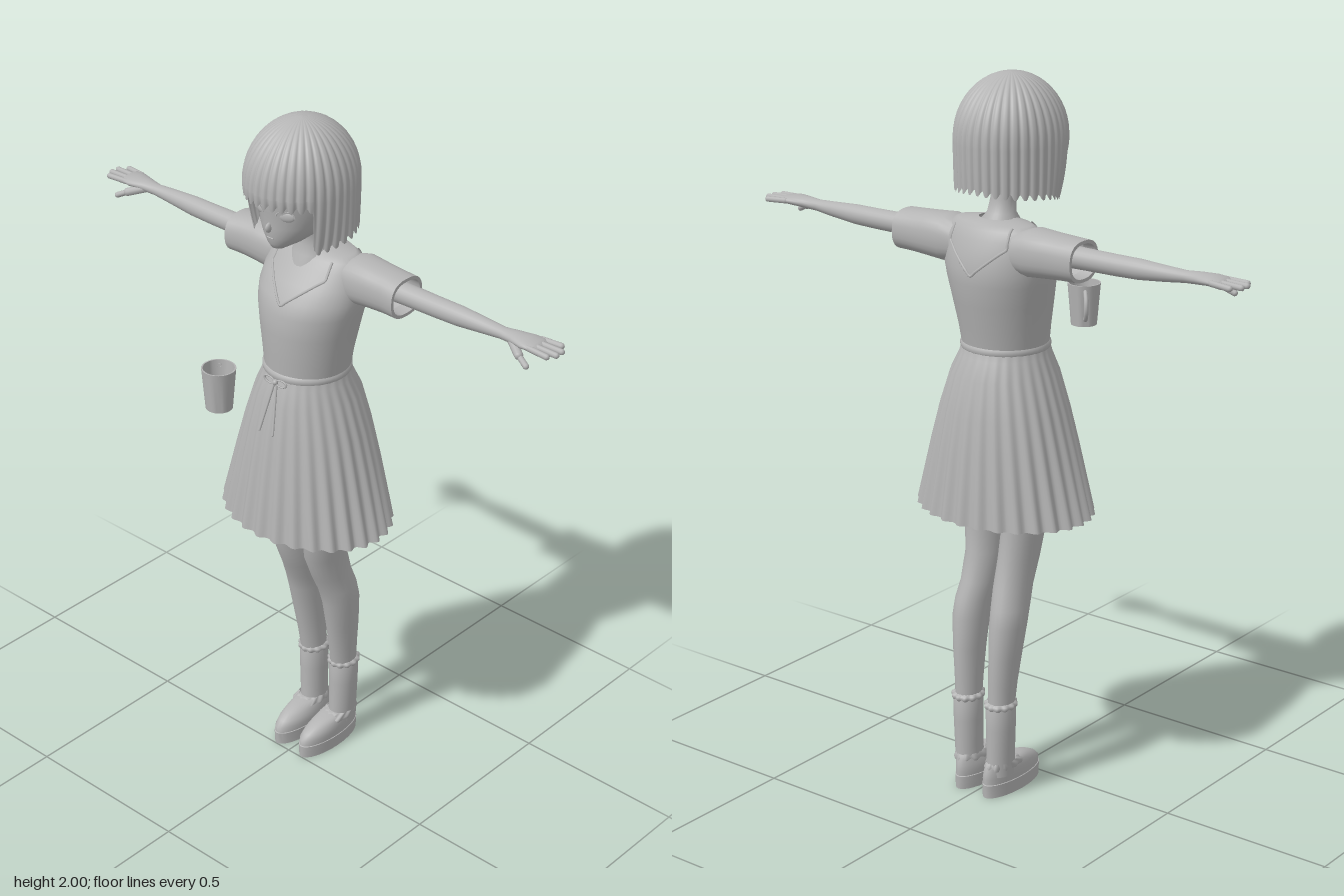
import * as THREE from 'three';
import { toCreasedNormals } from 'three/addons/utils/BufferGeometryUtils.js';

const grey = new THREE.MeshStandardMaterial({ color: 0xb4b4b4, side: THREE.DoubleSide });
grey.name = 'plain grey';

// Closed-in-u surface from a rule fn(angle, row) -> [x, y, z]; angle 0 faces the front
function surface(n, rows, fn) {
  const pos = [], idx = [];
  for (let j = 0; j < rows; j++)
    for (let i = 0; i < n; i++) pos.push(...fn((i / n) * Math.PI * 2 - Math.PI, j));
  for (let j = 0; j < rows - 1; j++)
    for (let i = 0; i < n; i++) {
      const k = (i + 1) % n, a = j * n + i, b = j * n + k;
      idx.push(a, b, b + n, a, b + n, a + n);
    }
  const g = new THREE.BufferGeometry();
  g.setAttribute('position', new THREE.Float32BufferAttribute(pos, 3));
  g.setIndex(idx);
  g.computeVertexNormals();
  return g;
}

// Upright loft, sections [y, centreX, halfWidth, zFront, zBack]; wave(angle, row) scales the ring
const loftY = (s, n = 32, wave = () => 1) => surface(n, s.length, (a, j) => {
  const [y, cx, hx, zf, zb] = s[j], w = wave(a, j);
  return [cx + hx * w * Math.sin(a), y, (zf + zb) / 2 + ((zf - zb) / 2) * w * Math.cos(a)];
});

// Sideways loft, sections [x, centreY, halfHeight, centreZ, halfDepth]; p < 1 squares the ring
const loftX = (s, n = 24, p = 1) => surface(n, s.length, (a, j) => {
  const [x, cy, hy, cz, hz] = s[j];
  const soft = (t) => Math.sign(t) * Math.abs(t) ** p;
  return [x, cy - hy * soft(Math.sin(a)), cz + hz * soft(Math.cos(a))];
});

function limb(a, b, r) {
  const A = new THREE.Vector3(...a), B = new THREE.Vector3(...b), d = B.clone().sub(A);
  const g = new THREE.CapsuleGeometry(r, d.length(), 4, 10);
  g.applyQuaternion(new THREE.Quaternion().setFromUnitVectors(new THREE.Vector3(0, 1, 0), d.clone().normalize()));
  const m = A.add(B).multiplyScalar(0.5);
  return g.translate(m.x, m.y, m.z);
}

function mirrored(geo) {
  const g = geo.clone().toNonIndexed().scale(-1, 1, 1);
  for (const at of Object.values(g.attributes))
    for (let t = 0; t < at.count; t += 3)
      for (let c = 0; c < at.itemSize; c++) {
        const v = at.getComponent(t + 1, c);
        at.setComponent(t + 1, c, at.getComponent(t + 2, c));
        at.setComponent(t + 2, c, v);
      }
  return g;
}

const torso = [
  [1.27, 0, 0.117, 0.04, -0.19], [1.33, 0, 0.125, 0.043, -0.2], [1.4, 0, 0.138, 0.046, -0.215],
  [1.46, 0, 0.151, 0.044, -0.225], [1.5, 0, 0.158, 0.028, -0.225], [1.54, 0, 0.156, 0, -0.217],
  [1.58, 0, 0.15, -0.032, -0.204], [1.605, 0, 0.14, -0.05, -0.19], [1.618, 0, 0.115, -0.062, -0.18],
  [1.625, 0, 0.05, -0.08, -0.15],
];

// Point just on the bodice, side = 1 front or -1 back
function onTorso(x, y, side) {
  let i = 0;
  while (i < torso.length - 2 && torso[i + 1][0] < y) i++;
  const t = (y - torso[i][0]) / (torso[i + 1][0] - torso[i][0]);
  const [, , hx, zf, zb] = torso[i].map((v, k) => THREE.MathUtils.lerp(v, torso[i + 1][k], t));
  const depth = Math.sqrt(Math.max(0, 1 - (x / hx) ** 2));
  return new THREE.Vector3(x, y, (zf + zb) / 2 + side * ((zf - zb) / 2) * depth);
}

export function createModel() {
  const model = new THREE.Group();
  model.name = 'girl with mug';
  const add = (name, geo, parent = model) => {
    const m = new THREE.Mesh(geo, grey);
    m.name = name;
    parent.add(m);
    return m;
  };
  const pair = (name, geo) => {
    add('left ' + name, geo);
    add('right ' + name, mirrored(geo));
  };

  // Head and face
  add('head', loftY([
    [1.662, 0, 0, 0.045, 0.04], [1.666, 0, 0.02, 0.058, 0.02], [1.68, 0, 0.045, 0.066, -0.06],
    [1.7, 0, 0.068, 0.071, -0.12], [1.73, 0, 0.088, 0.074, -0.15], [1.77, 0, 0.1, 0.075, -0.175],
    [1.82, 0, 0.11, 0.085, -0.19], [1.88, 0, 0.11, 0.08, -0.19], [1.95, 0, 0.08, 0.04, -0.14],
    [1.975, 0, 0, -0.04, -0.06],
  ]));
  add('nose', new THREE.SphereGeometry(1, 12, 8).scale(0.007, 0.014, 0.013).translate(0, 1.73, 0.075));
  pair('eye', new THREE.SphereGeometry(1, 16, 10).scale(0.023, 0.014, 0.006).rotateY(0.4).translate(0.046, 1.768, 0.058));
  pair('lash', new THREE.TorusGeometry(0.026, 0.002, 6, 14, Math.PI).scale(1, 0.65, 1).rotateY(0.4).translate(0.046, 1.768, 0.063));
  add('mouth', limb([-0.009, 1.699, 0.071], [0.009, 1.699, 0.071], 0.002));

  // Bobbed hair: dome above, straight strands below, shorter at the fringe
  const rows = 25, half = 12;
  add('hair', surface(288, rows, (a, j) => {
    const side = THREE.MathUtils.smoothstep(Math.abs(a), 0.98, 1.04);
    const lock = side * (1 - THREE.MathUtils.smoothstep(Math.abs(a), 1.04, 1.9));
    const strand = Math.abs(Math.cos(18 * a));
    const hem = THREE.MathUtils.lerp(1.795, 1.68 + 0.012 * (Math.abs(a) - 1.5), side) + 0.014 * strand ** 3 - 0.012 * lock;
    let y, r;
    if (j < half) {
      const t = 1 - j / half;
      y = THREE.MathUtils.lerp(1.83, hem, t);
      r = 1 - (0.02 + 0.13 * lock) * t ** 2;
    } else {
      const p = ((rows - 1 - j) / half) * (Math.PI / 2);
      y = 1.83 + 0.17 * Math.cos(p);
      r = Math.sin(p);
    }
    r *= 1 - 0.035 * strand ** 5;
    return [0.146 * r * Math.sin(a), y, -0.05 + 0.163 * r * Math.cos(a)];
  }));

  // Neck flaring into the neckline
  add('neck', loftY([
    [1.575, 0, 0.062, -0.03, -0.16], [1.61, 0, 0.058, -0.042, -0.15], [1.635, 0, 0.038, -0.052, -0.13],
    [1.67, 0, 0.034, -0.05, -0.118], [1.72, 0, 0.036, -0.04, -0.115],
  ]));

  // Bodice with V-shaped trim front and back
  add('bodice', loftY(torso, 40));
  for (const side of [1, -1]) {
    const pts = [], path = [[-0.09, 1.615], [-0.093, 1.565], [0, 1.487], [0.093, 1.565], [0.09, 1.615]];
    for (let i = 0; i < 4; i++)
      for (let k = 0; k < 6; k++) {
        const [p, q] = [path[i], path[i + 1]];
        pts.push(onTorso(p[0] + (q[0] - p[0]) * k / 6, p[1] + (q[1] - p[1]) * k / 6, side));
      }
    add(side > 0 ? 'front neckline' : 'back neckline', new THREE.TubeGeometry(new THREE.CatmullRomCurve3(pts), 60, 0.004, 6));
  }

  // Pleated skirt and waistband
  const skirt = [
    [0.81, 0, 0.255, 0.122, -0.276], [0.9, 0, 0.232, 0.112, -0.268], [1, 0, 0.207, 0.099, -0.257],
    [1.1, 0, 0.18, 0.084, -0.243], [1.2, 0, 0.147, 0.066, -0.222], [1.25, 0, 0.125, 0.049, -0.199],
    [1.28, 0, 0.117, 0.04, -0.19],
  ];
  add('skirt', loftY(skirt, 224, (a, j) => 1 + 0.032 * (1 - j / 6) * Math.cos(28 * a)));
  add('waistband', loftY([[1.264, 0, 0.119, 0.042, -0.192], [1.27, 0, 0.122, 0.046, -0.196], [1.28, 0, 0.122, 0.046, -0.196], [1.286, 0, 0.117, 0.041, -0.191]], 40));

  // Waist bow
  pair('bow loop', new THREE.TorusGeometry(0.014, 0.003, 6, 16).scale(1.3, 0.7, 1).rotateZ(0.15).translate(0.021, 1.266, 0.053));
  add('bow knot', new THREE.SphereGeometry(0.008, 10, 8).translate(0, 1.264, 0.053));
  pair('bow tail', limb([0.004, 1.26, 0.053], [0.024, 1.125, 0.09], 0.0035));

  // Sleeves with a turned-in hem
  pair('sleeve', toCreasedNormals(loftX([
    [0.1, 1.553, 0.055, -0.13, 0.06], [0.14, 1.555, 0.064, -0.13, 0.068], [0.2, 1.555, 0.06, -0.13, 0.062],
    [0.25, 1.555, 0.057, -0.129, 0.06], [0.295, 1.554, 0.055, -0.128, 0.062], [0.295, 1.554, 0.046, -0.128, 0.053],
    [0.26, 1.556, 0.044, -0.128, 0.05],
  ], 28, 0.8), 0.8));

  // Arms and hands, palms down with thumbs forward
  pair('arm', loftX([
    [0.16, 1.562, 0.032, -0.128, 0.033], [0.3, 1.562, 0.029, -0.13, 0.03], [0.4, 1.562, 0.028, -0.13, 0.028],
    [0.47, 1.563, 0.027, -0.13, 0.027], [0.55, 1.565, 0.021, -0.13, 0.022], [0.61, 1.567, 0.016, -0.128, 0.018],
    [0.65, 1.57, 0.016, -0.128, 0.026], [0.69, 1.572, 0.014, -0.128, 0.037], [0.72, 1.572, 0.011, -0.13, 0.037],
    [0.733, 1.572, 0, -0.13, 0.02],
  ]));
  [[-0.16, -0.168, 0.763], [-0.14, -0.144, 0.782], [-0.12, -0.12, 0.783], [-0.101, -0.098, 0.77]].forEach(([z0, z1, x], i) =>
    pair('finger ' + (i + 1), limb([0.705, 1.572, z0], [x, 1.57, z1], 0.008)));
  pair('thumb base', limb([0.645, 1.565, -0.118], [0.69, 1.549, -0.09], 0.012));
  pair('thumb', limb([0.69, 1.549, -0.09], [0.722, 1.533, -0.08], 0.008));

  // Legs
  pair('leg', loftY([
    [0.25, 0.057, 0.034, -0.132, -0.213], [0.33, 0.059, 0.036, -0.12, -0.214], [0.41, 0.062, 0.04, -0.105, -0.215],
    [0.5, 0.064, 0.047, -0.088, -0.21], [0.55, 0.062, 0.048, -0.073, -0.199], [0.6, 0.056, 0.048, -0.052, -0.182],
    [0.68, 0.056, 0.05, -0.02, -0.16], [0.8, 0.066, 0.055, 0, -0.147], [0.95, 0.07, 0.062, 0, -0.16],
    [1.1, 0.07, 0.065, 0.01, -0.17],
  ], 24));

  // Socks with frilled edges
  pair('sock', loftY([
    [0.06, 0.054, 0.036, -0.125, -0.218], [0.12, 0.056, 0.036, -0.129, -0.218], [0.2, 0.057, 0.039, -0.129, -0.219],
    [0.268, 0.057, 0.04, -0.13, -0.219], [0.268, 0.057, 0.03, -0.14, -0.205],
  ], 24));
  const frill = (a) => 1 + 0.05 * Math.cos(12 * a);
  pair('sock frill', loftY([[0.26, 0.057, 0.039, -0.13, -0.219], [0.266, 0.057, 0.043, -0.125, -0.223], [0.274, 0.057, 0.043, -0.125, -0.223], [0.278, 0.057, 0.034, -0.132, -0.212]], 72, frill));
  pair('ankle frill', loftY([[0.078, 0.053, 0.038, -0.085, -0.222], [0.088, 0.053, 0.041, -0.085, -0.225], [0.1, 0.055, 0.036, -0.12, -0.218]], 72, frill));

  // Shoes: thick sole and rounded upper
  pair('sole', toCreasedNormals(loftY([
    [0, 0.048, 0, -0.11, -0.12], [0, 0.048, 0.042, -0.002, -0.233], [0.038, 0.048, 0.043, 0, -0.235], [0.04, 0.048, 0.04, -0.006, -0.23],
  ], 32), 0.7));
  pair('shoe upper', loftY([
    [0.036, 0.048, 0.041, -0.003, -0.232], [0.055, 0.048, 0.042, -0.004, -0.233], [0.07, 0.049, 0.04, -0.02, -0.231],
    [0.085, 0.05, 0.036, -0.05, -0.227], [0.097, 0.051, 0.03, -0.09, -0.222], [0.1, 0.052, 0, -0.15, -0.18],
  ], 32));

  // Floating mug
  const mug = new THREE.Group();
  mug.name = 'mug';
  mug.position.set(-0.03, 1.257, 0.237);
  model.add(mug);
  const profile = [[0, 0], [0.036, 0], [0.046, 0.118], [0.042, 0.118], [0.033, 0.006], [0, 0.006]].map(([x, y]) => new THREE.Vector2(x, y));
  add('mug cup', toCreasedNormals(new THREE.LatheGeometry(profile, 32), 0.7), mug);
  add('mug handle', new THREE.TorusGeometry(0.04, 0.006, 8, 20, Math.PI).rotateZ(-Math.PI / 2).translate(0.038, 0.063, 0).rotateY(2.28), mug);

  return model;
}
